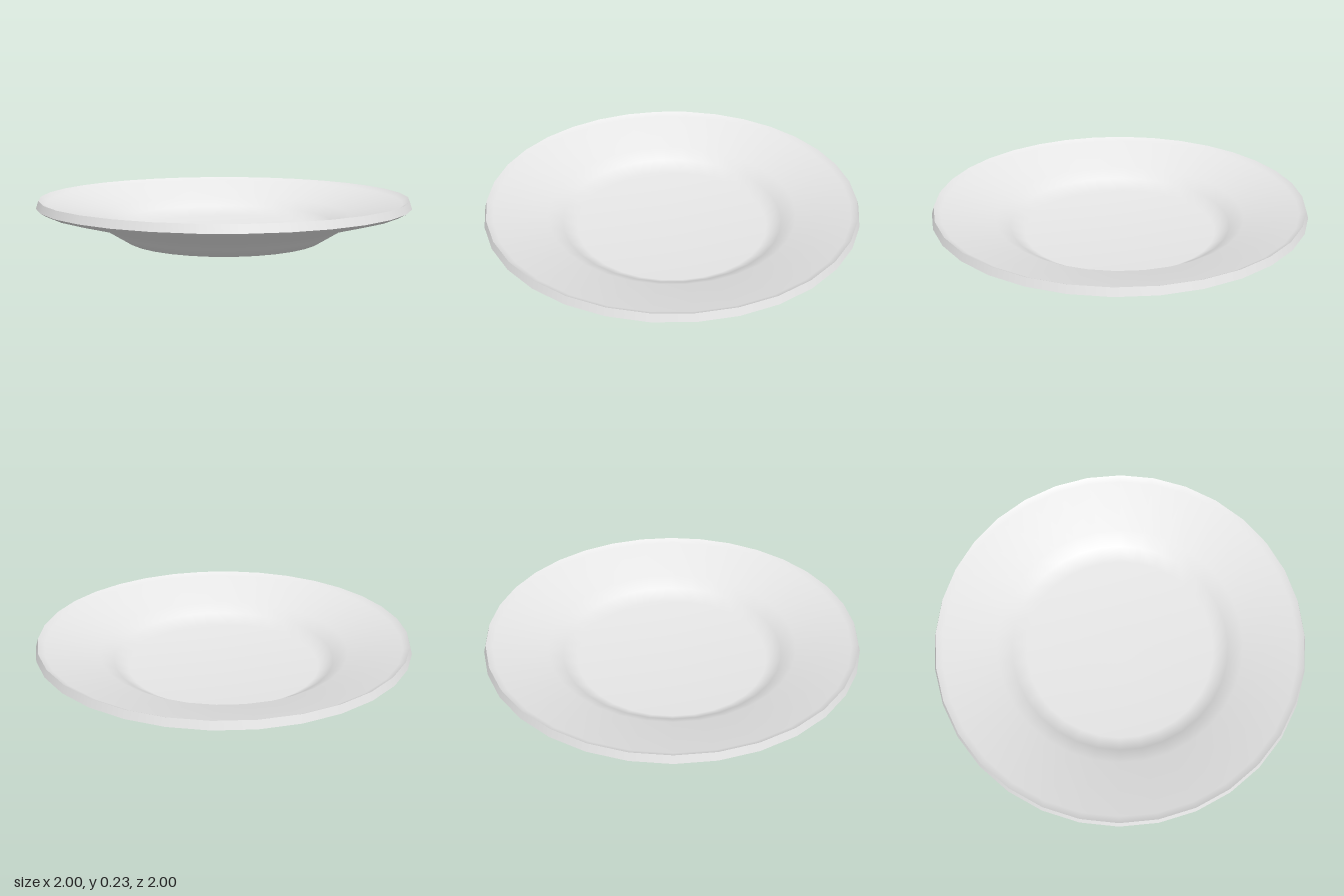
import * as THREE from 'three';

const SIDES = 32;

// Smooth surface of revolution from [radius, height] pairs
function turned(name, profile, material) {
  const points = profile.map(([r, y]) => new THREE.Vector2(r, y));
  const mesh = new THREE.Mesh(new THREE.LatheGeometry(points, SIDES), material);
  mesh.name = name;
  return mesh;
}

export function createModel() {
  const plate = new THREE.Group();
  plate.name = 'plate';
  const ceramic = new THREE.MeshStandardMaterial({ color: 0xe7e7e7 });
  ceramic.name = 'white ceramic';

  // Underside: flat base, steep wall, shallow flange
  plate.add(turned('underside', [
    [0, 0], [0.535, 0], [0.613, 0.049], [0.69, 0.098], [0.965, 0.176], [1, 0.196],
  ], ceramic));

  // Rim band, separate so that both of its edges stay sharp
  plate.add(turned('rim', [[1, 0.196], [0.987, 0.235]], ceramic));

  // Inside of the dish, from the lip down to the well
  plate.add(turned('dish', [
    [0.987, 0.235], [0.954, 0.215], [0.674, 0.137], [0.599, 0.089], [0.523, 0.04], [0, 0.04],
  ], ceramic));

  return plate;
}
